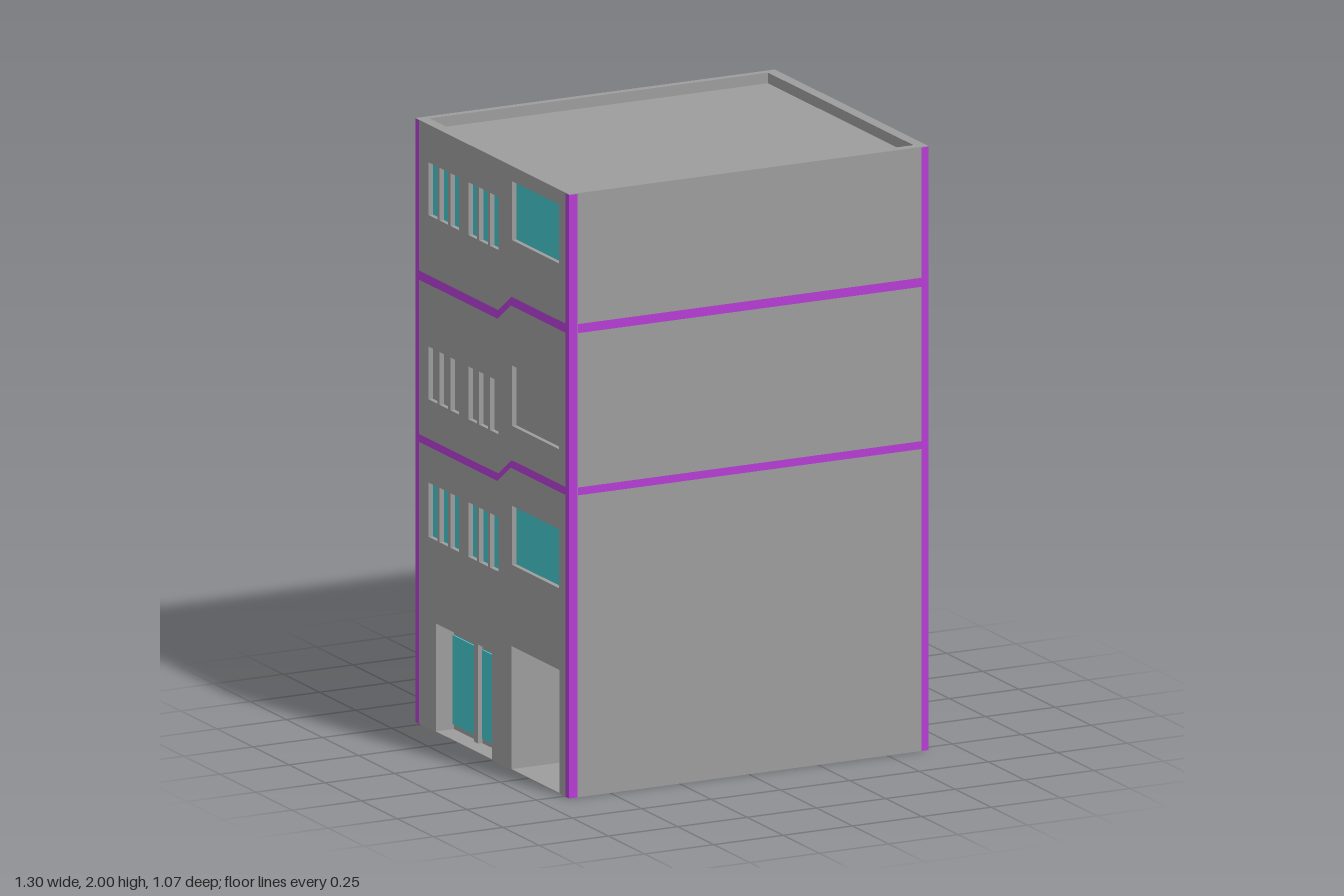
import * as THREE from 'three';

const W = 0.648, D = 0.532, H = 2, T = 0.02, SKIN = 0.002;
const TOP = H - SKIN; // underside of the parapet rim
const STRIP_Z = 0.508; // inner edge of the corner strips on the sides
const STRIP_X = { '-1': 0.617, 1: 0.622 }; // inner edges at the front and back
const mat = (color) => new THREE.MeshStandardMaterial({ color, side: THREE.DoubleSide });
const grey = mat(0x9c9c9c), purple = mat(0xb53cd4), teal = mat(0x43c3ca);

export function createModel() {
  const model = new THREE.Group();

  const add = (name, geometry, material) => {
    const mesh = new THREE.Mesh(geometry, material);
    mesh.name = name;
    model.add(mesh);
    return mesh;
  };
  // Box given by its extents on each axis
  const box = (name, [x0, x1], [y0, y1], [z0, z1], material = grey) =>
    add(name, new THREE.BoxGeometry(x1 - x0, y1 - y0, z1 - z0), material)
      .position.set((x0 + x1) / 2, (y0 + y1) / 2, (z0 + z1) / 2);
  const outline = (pts) => new THREE.Shape(pts.map(([u, v]) => new THREE.Vector2(u, v)));
  const rect = (u0, u1, v0, v1) => outline([[u0, v0], [u1, v0], [u1, v1], [u0, v1]]);

  // Plain walls between the corner strips: an open-bottomed shell
  const wallX = [-STRIP_X[-1], STRIP_X[1]], wallZ = [-STRIP_Z, STRIP_Z];
  box('frontWall', wallX, [0, TOP], [D - SKIN, D]);
  box('backWall', wallX, [0, TOP], [-D, -D + SKIN]);
  box('leftWall', [W - SKIN, W], [0, TOP], wallZ);

  // Corner strips wrapping each vertical edge, flush with the walls
  const span = (s, a, b) => (s > 0 ? [a, b] : [-b, -a]);
  for (const sx of [-1, 1]) for (const sz of [-1, 1]) {
    box('cornerStrip', span(sx, STRIP_X[sx], W), [0, TOP], span(sz, D - SKIN, D), purple);
    box('cornerStrip', span(sx, W - SKIN, W), [0, TOP], span(sz, STRIP_Z, D - SKIN), purple);
  }

  // Openings of the window facade
  const door = { z0: -0.39, z1: 0, h: 0.36, depth: 0.065 };
  const garage = { z0: 0.135, z1: 0.465, h: 0.41, depth: 0.23 };
  const floors = [
    { small: [0.635, 0.815], large: [0.68, 0.875], glass: teal },
    { small: [1.09, 1.265], large: [1.14, 1.34], glass: grey },
    { small: [1.7, 1.875], large: [1.755, 1.95], glass: teal },
  ];
  const groups = [-0.44, -0.165], largeZ = [0.138, 0.462];

  const facade = outline([
    [-STRIP_Z, 0], [door.z0, 0], [door.z0, door.h], [door.z1, door.h], [door.z1, 0],
    [garage.z0, 0], [garage.z0, garage.h], [garage.z1, garage.h], [garage.z1, 0],
    [STRIP_Z, 0], [STRIP_Z, TOP], [-STRIP_Z, TOP],
  ]);
  const paneX = [-W + T - 0.004, -W + T];
  for (const f of floors) {
    for (const z of groups) {
      for (let i = 0; i < 3; i++)
        facade.holes.push(rect(z + i * 0.075, z + i * 0.075 + 0.06, ...f.small));
      box('smallWindowPanes', paneX, f.small, [z, z + 0.21], f.glass);
    }
    facade.holes.push(rect(...largeZ, ...f.large));
    box('largeWindowPane', paneX, f.large, largeZ, f.glass);
  }
  const facadeGeo = new THREE.ExtrudeGeometry(facade, { depth: T, bevelEnabled: false });
  add('windowFacade', facadeGeo.rotateY(-Math.PI / 2).translate(-W + T, 0, 0), grey);

  // Recesses behind the ground-floor openings
  const recess = (name, { z0, z1, h, depth }, floorDepth) => {
    const x = [-W + SKIN, -W + depth];
    box(name + 'Side', x, [0, h], [z0 - SKIN, z0]);
    box(name + 'Side', x, [0, h], [z1, z1 + SKIN]);
    box(name + 'Ceiling', x, [h, h + SKIN], [z0 - SKIN, z1 + SKIN]);
    box(name + 'BackWall', [x[1], x[1] + SKIN], [0, h + SKIN], [z0 - SKIN, z1 + SKIN]);
    box(name + 'Floor', [-W, -W + floorDepth], [0, 0.003], [z0, z1]);
  };
  recess('entrance', door, door.depth);
  recess('garage', garage, 0.425);
  const gx = -W + garage.depth;
  box('garageDoor', [gx - 0.004, gx + 0.008], [0.004, 0.36], [garage.z0 + 0.06, garage.z1 - 0.04]);

  // Glazed entrance doors, visible from both sides
  const dx = -W + door.depth;
  for (const z of [[-0.388, -0.23], [-0.185, -0.015]])
    box('entranceDoorGlass', [dx - 0.006, dx + 0.008], [0.02, 0.315], z, teal);
  box('entranceDoorPost', [dx - 0.015, dx], [0, door.h], [-0.222, -0.193]);

  // Parapet rim and sunken roof
  const rim = rect(-W, W, -D, D);
  rim.holes.push(rect(-0.61, 0.61, -0.5, 0.507));
  const rimGeo = new THREE.ExtrudeGeometry(rim, { depth: SKIN, bevelEnabled: false });
  add('parapetTop', rimGeo.rotateX(-Math.PI / 2).translate(0, TOP, 0), grey);
  for (const s of [-1, 1])
    box('parapetSide', span(s, 0.61, 0.612), [1.965, 1.999], [-0.507, 0.5]);
  box('parapetBack', [-0.61, 0.61], [1.965, 1.999], [-0.509, -0.507]);
  box('parapetFront', [-0.61, 0.61], [1.965, 1.999], [0.5, 0.502]);
  box('roof', [-0.612, 0.612], [1.961, 1.965], [-0.509, 0.502]);

  // Storey bands lie on the walls: level front and back, kinked on the sides
  const lift = 0.0008;
  for (const [y, t] of [[1.0, 0.026], [1.537, 0.03]]) {
    const lo = y - 0.066;
    const level = (v) => new THREE.ShapeGeometry(rect(...wallX, v, v + t));
    add('frontBand', level(y).translate(0, 0, D + lift), purple);
    const back = new THREE.ShapeGeometry(rect(-wallX[1], -wallX[0], lo, lo + t));
    add('backBand', back.rotateY(Math.PI).translate(0, 0, -D - lift), purple);

    // The same kinked path, mirrored in its drawing plane for the left side
    const path = [
      [-STRIP_Z, lo], [0.038, lo], [0.13, y], [STRIP_Z, y],
      [STRIP_Z, y + t], [0.135, y + t], [0.043, lo + t], [-STRIP_Z, lo + t],
    ];
    for (const s of [-1, 1]) {
      const kinked = new THREE.ShapeGeometry(outline(path.map(([z, v]) => [-s * z, v])));
      kinked.rotateY(s * Math.PI / 2).translate(s * (W + lift), 0, 0);
      add(s > 0 ? 'leftBand' : 'rightBand', kinked, purple);
    }
  }
  return model;
}
